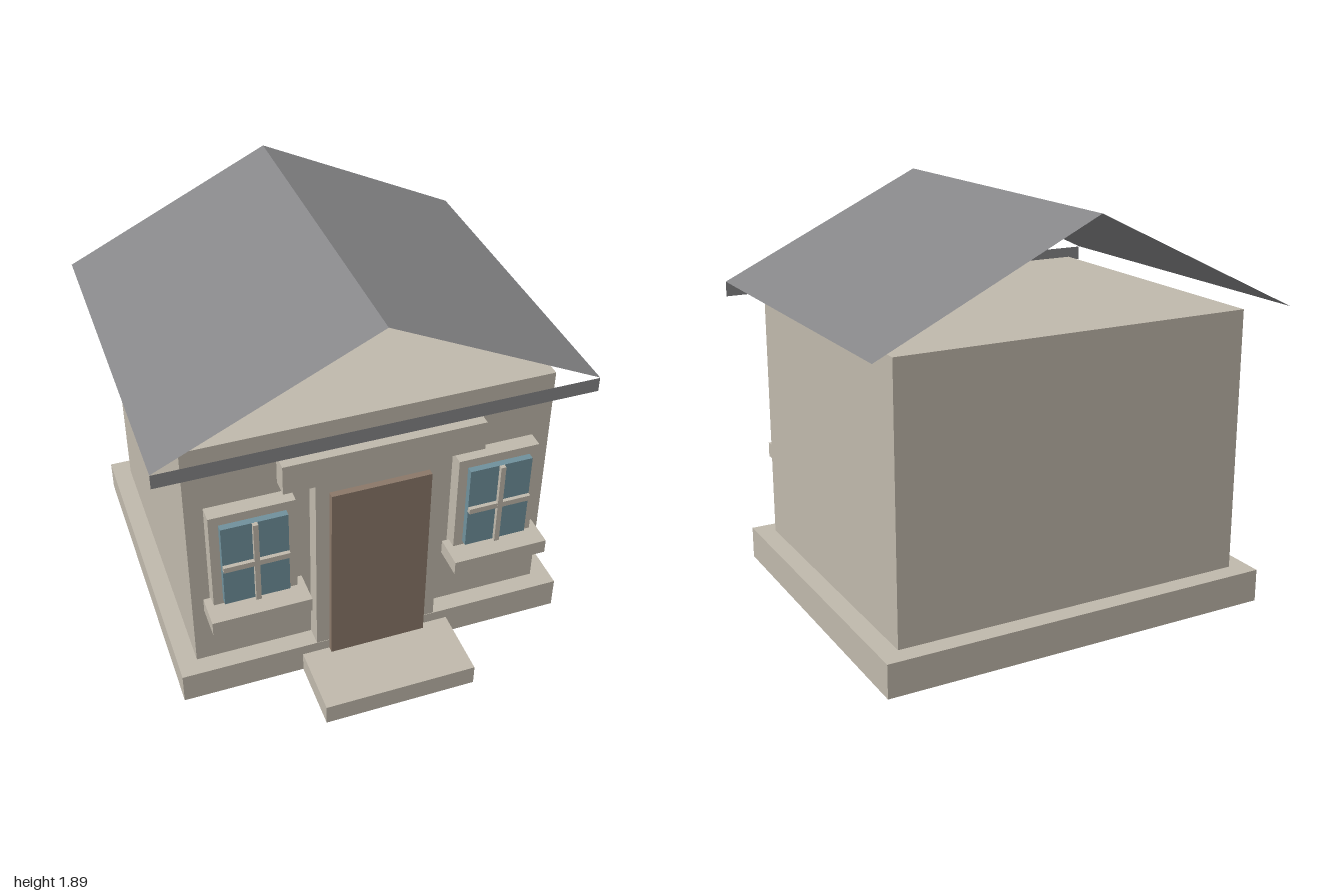
import * as THREE from 'three';

export function createModel() {
  const house = new THREE.Group();
  house.name = 'house';

  const stone = new THREE.MeshStandardMaterial({ color: 0xbfb8ab });
  stone.name = 'stone';
  const slate = new THREE.MeshStandardMaterial({ color: 0x858587, side: THREE.DoubleSide });
  slate.name = 'slate';
  const wood = new THREE.MeshStandardMaterial({ color: 0x8a7768 });
  wood.name = 'wood';
  const glass = new THREE.MeshStandardMaterial({ color: 0x6f909b });
  glass.name = 'glass';

  // Box given by its extents on each axis
  function box(name, material, [x0, x1], [y0, y1], [z0, z1], parent = house) {
    const mesh = new THREE.Mesh(new THREE.BoxGeometry(x1 - x0, y1 - y0, z1 - z0), material);
    mesh.position.set((x0 + x1) / 2, (y0 + y1) / 2, (z0 + z1) / 2);
    mesh.name = name;
    parent.add(mesh);
    return mesh;
  }

  // Base, step and walls
  box('foundation', stone, [-0.945, 0.945], [0, 0.155], [-0.955, 0.66]);
  box('doorstep', stone, [-0.365, 0.365], [0, 0.102], [0.6, 1]);
  box('walls', stone, [-0.855, 0.855], [0.155, 1.39], [-0.865, 0.573]);

  // Door with its surround and the lintel above
  box('doorSurround', stone, [-0.295, 0.295], [0.1, 1.135], [0.573, 0.658]);
  box('door', wood, [-0.233, 0.233], [0.102, 1.072], [0.658, 0.69]);
  box('lintel', stone, [-0.46, 0.46], [1.18, 1.325], [0.64, 0.725]);

  // Windows, one each side of the door
  for (const side of [-1, 1]) {
    const win = new THREE.Group();
    win.name = side > 0 ? 'leftWindow' : 'rightWindow';
    win.position.x = side * 0.576;
    box('windowFrame', stone, [-0.195, 0.195], [0.53, 1.065], [0.573, 0.648], win);
    box('windowPane', glass, [-0.151, 0.151], [0.58, 1.02], [0.648, 0.68], win);
    box('verticalBar', stone, [-0.012, 0.012], [0.58, 1.02], [0.678, 0.7], win);
    box('horizontalBar', stone, [-0.151, 0.151], [0.785, 0.813], [0.678, 0.699], win);
    box('windowSill', stone, [-0.23, 0.23], [0.485, 0.557], [0.598, 0.755], win);
    house.add(win);
  }

  // Open gable roof: two thin sheets meeting at the ridge
  const eave = 1.415, ridge = 1.895, back = -1, front = 0.7;
  for (const side of [-1, 1]) {
    const corners = [
      0, ridge, back, 0, ridge, front,
      side, eave, front, side, eave, back,
    ];
    const geometry = new THREE.BufferGeometry();
    geometry.setAttribute('position', new THREE.Float32BufferAttribute(corners, 3));
    geometry.setIndex(side > 0 ? [0, 1, 2, 0, 2, 3] : [0, 2, 1, 0, 3, 2]);
    geometry.computeVertexNormals();
    const slope = new THREE.Mesh(geometry, slate);
    slope.name = side > 0 ? 'leftRoofSlope' : 'rightRoofSlope';
    house.add(slope);
  }

  // Flat fascia across the front eaves
  const fascia = new THREE.Mesh(new THREE.PlaneGeometry(2, 0.07), slate);
  fascia.position.set(0, 1.378, front);
  fascia.name = 'fascia';
  house.add(fascia);

  return house;
}
